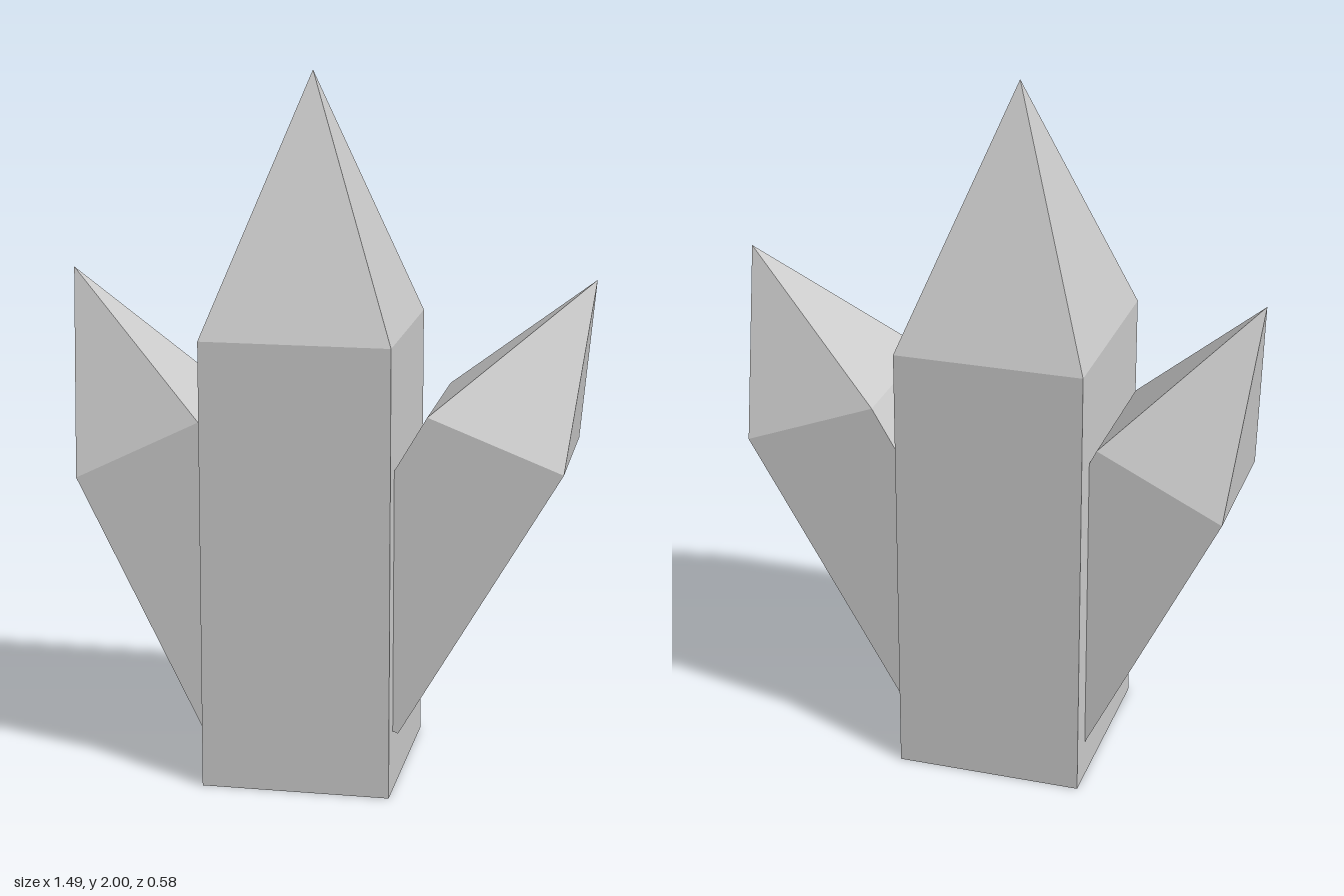
import * as THREE from 'three';

// One open-bottomed crystal: a four-sided shaft rising to a pyramid point.
// base and shoulder each give the [x, y] of the -x and +x edges.
function crystal(name, material, { base, shoulder, tip, halfDepth }) {
  const ring = ([low, high]) => [
    [...low, halfDepth], [...high, halfDepth], [...high, -halfDepth], [...low, -halfDepth],
  ];
  const a = ring(base), b = ring(shoulder), point = [...tip, 0];
  const positions = [];
  for (let i = 0; i < 4; i++) {
    const j = (i + 1) % 4;
    positions.push(...a[i], ...a[j], ...b[j]); // shaft side
    positions.push(...a[i], ...b[j], ...b[i]);
    positions.push(...b[i], ...b[j], ...point); // point facet
  }
  const geometry = new THREE.BufferGeometry();
  geometry.setAttribute('position', new THREE.Float32BufferAttribute(positions, 3));
  geometry.computeVertexNormals();
  const mesh = new THREE.Mesh(geometry, material);
  mesh.name = name;
  return mesh;
}

export function createModel() {
  const group = new THREE.Group();
  group.name = 'crystalCluster';
  const material = new THREE.MeshStandardMaterial({
    color: 0xcccccc, flatShading: true, side: THREE.DoubleSide,
  });

  // Tall upright crystal
  group.add(crystal('mainCrystal', material, {
    base: [[-0.315, 0], [0.22, 0]],
    shoulder: [[-0.315, 1.285], [0.22, 1.285]],
    tip: [-0.05, 2],
    halfDepth: 0.29,
  }));

  // Smaller crystals leaning out on each side, rooted inside the main one
  group.add(crystal('leftCrystal', material, {
    base: [[-0.14, 0.315], [0.235, 0.17]],
    shoulder: [[0.31, 1.085], [0.685, 0.94]],
    tip: [0.745, 1.44],
    halfDepth: 0.225,
  }));
  group.add(crystal('rightCrystal', material, {
    base: [[-0.275, 0.03], [0.08, 0.205]],
    shoulder: [[-0.69, 0.865], [-0.335, 1.04]],
    tip: [-0.745, 1.43],
    halfDepth: 0.213,
  }));
  return group;
}
